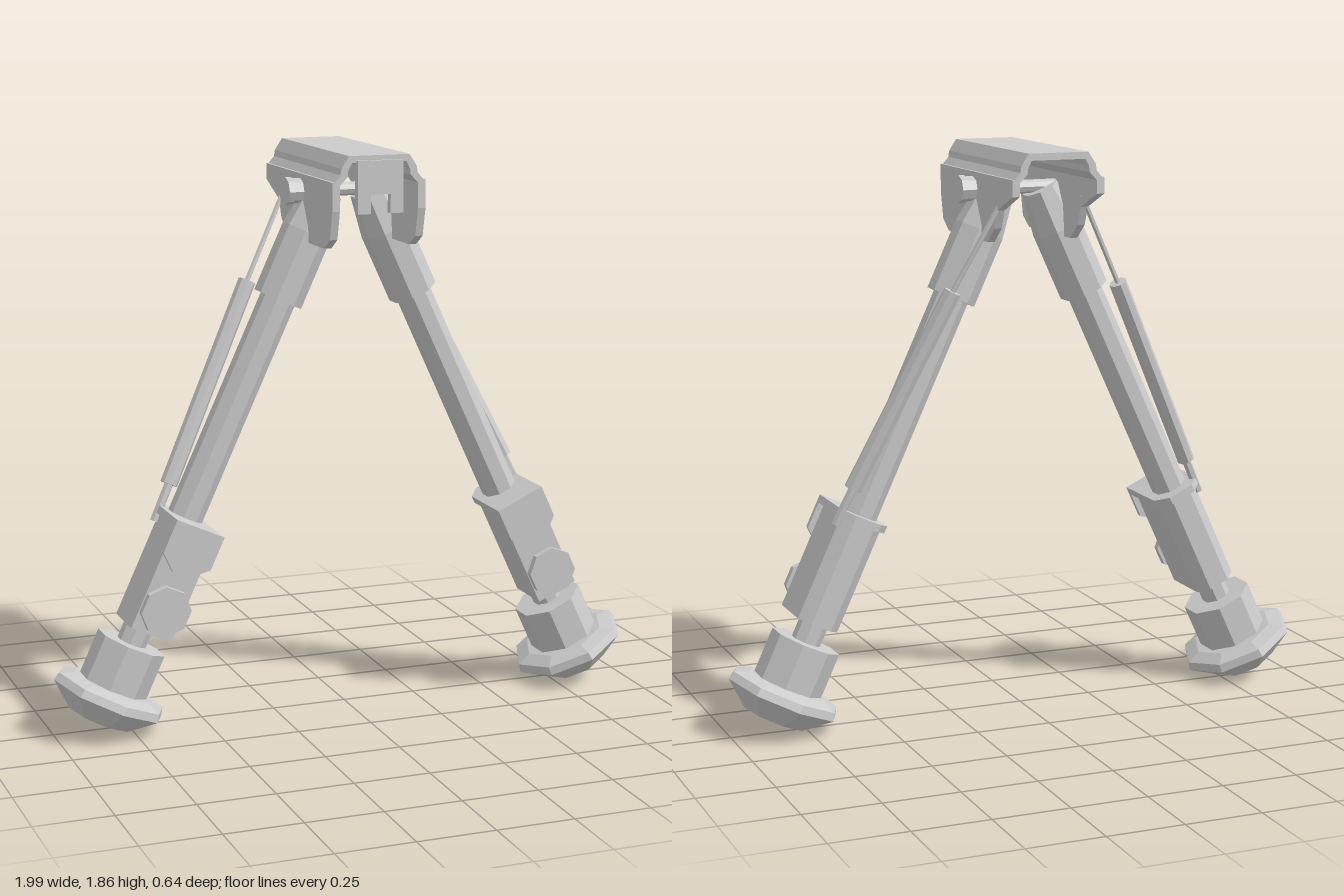
import * as THREE from 'three';

const material = new THREE.MeshStandardMaterial({ color: 0xcccccc, flatShading: true, side: THREE.DoubleSide });
const TILT = 0.434;   // lean of each leg
const LEG_Z = 0.017;

function add(parent, name, geometry) {
  const mesh = new THREE.Mesh(geometry, material);
  mesh.name = name;
  parent.add(mesh);
  return mesh;
}

// Extruded outline from [x, y] pairs
function extrude(points, depth) {
  const shape = new THREE.Shape(points.map(([x, y]) => new THREE.Vector2(x, y)));
  return new THREE.ExtrudeGeometry(shape, { depth, bevelEnabled: false });
}

// Right half of an outline, mirrored to a closed symmetric one
function mirrored(half) {
  return [...half, ...half.slice().reverse().map(([x, y]) => [-x, y])];
}

// Octagonal section of a leg between two distances down its axis;
// flat turns a flat side (instead of a corner) to the front
function section(parent, name, from, to, rTop, rBottom, flat = true) {
  const k = flat ? 1 / Math.cos(Math.PI / 8) : 1;
  const g = new THREE.CylinderGeometry(rTop * k, rBottom * k, to - from, 8);
  if (flat) g.rotateY(Math.PI / 8);
  g.translate(0, -(from + to) / 2, 0);
  return add(parent, name, g);
}

// Horizontal (x, z) plate of a leg, extruded down the axis
function plate(parent, name, points, from, to) {
  const g = extrude(points, to - from);
  g.rotateX(Math.PI / 2).translate(0, -from, 0);
  return add(parent, name, g);
}

// Cylinder between two points
function rod(parent, name, a, b, radius, sides = 8) {
  const dir = b.clone().sub(a);
  const mesh = add(parent, name, new THREE.CylinderGeometry(radius, radius, dir.length(), sides));
  mesh.position.copy(a).add(b).multiplyScalar(0.5);
  mesh.quaternion.setFromUnitVectors(new THREE.Vector3(0, 1, 0), dir.normalize());
  return mesh;
}

function buildLeg(side) {
  const leg = new THREE.Group();
  leg.name = side > 0 ? 'leftLeg' : 'rightLeg';
  leg.position.set(side * 0.08, 1.72, LEG_Z);
  leg.rotation.z = side * TILT;

  // Telescoping tubes
  section(leg, 'hingeTaper', -0.01, 0.13, 0.056, 0.075);
  section(leg, 'upperSleeve', 0.13, 0.364, 0.075, 0.075);
  section(leg, 'outerTube', 0.36, 1.14, 0.054, 0.054);
  section(leg, 'innerTube', 1.48, 1.58, 0.045, 0.045);

  // Clamp block with bevelled back corners
  plate(leg, 'clampBody', mirrored([[0.072, 0.137], [0.072, -0.04], [0.035, -0.077]]), 1.14, 1.5);

  // Release lever: collar plate and front lip
  plate(leg, 'leverCollar', mirrored([[0.085, 0.173], [0.085, -0.05], [0.045, -0.095]]), 1.122, 1.147);
  const lip = extrude(mirrored([[0.085, -1.122], [0.085, -1.235], [0.03, -1.282]]), 0.018);
  add(leg, 'leverLip', lip.translate(0, 0, 0.155));

  // Lock knob and its stem
  const knob = new THREE.CylinderGeometry(0.082, 0.082, 0.025, 8);
  knob.rotateY(Math.PI / 8).rotateX(Math.PI / 2).translate(0, -1.407, 0.17);
  add(leg, 'lockKnob', knob);
  const stem = new THREE.CylinderGeometry(0.025, 0.025, 0.04, 8);
  add(leg, 'knobStem', stem.rotateX(Math.PI / 2).translate(0, -1.407, 0.145));

  // Foot
  section(leg, 'footCollar', 1.566, 1.735, 0.107, 0.107);
  section(leg, 'footTop', 1.718, 1.734, 0.14, 0.188, false);
  section(leg, 'footRim', 1.734, 1.761, 0.188, 0.195, false);
  section(leg, 'footPad', 1.761, 1.832, 0.195, 0.108, false);
  return leg;
}

// Folding spring strut behind a leg
function buildStrut(side) {
  const strut = new THREE.Group();
  strut.name = side > 0 ? 'leftStrut' : 'rightStrut';
  const p = (x, y, z) => new THREE.Vector3(side * x, y, z);
  const top = p(0.285, 1.43, -0.137), bottom = p(0.59, 0.8, -0.035);
  rod(strut, 'strutRod', p(0.135, 1.72, -0.19), top, 0.009, 6);
  rod(strut, 'strutHousing', top, bottom, 0.029);
  rod(strut, 'strutFoot', bottom, p(0.645, 0.685, -0.02), 0.015, 6);
  return strut;
}

function buildMount() {
  const mount = new THREE.Group();
  mount.name = 'mount';

  // Folded top channel running front to back
  const outer = [[0.155, 1.78], [0.128, 1.812], [0.125, 1.832], [0.1, 1.87]];
  const inner = [[0.13, 1.78], [0.105, 1.805], [0.102, 1.825], [0.09, 1.848]];
  const left = ([x, y]) => [-x, y];
  const profile = [...outer, ...outer.map(left).reverse(), ...inner.map(left), ...inner.slice().reverse()];
  add(mount, 'topChannel', extrude(profile, 0.625).translate(0, 0, -0.315));

  // Side cheeks, outline in (z, y)
  const cheek = [[0.31, 1.79], [0.31, 1.7], [0.288, 1.61], [0.235, 1.577], [-0.108, 1.577],
    [-0.165, 1.625], [-0.19, 1.685], [-0.315, 1.738], [-0.315, 1.79]];
  for (const side of [1, -1]) {
    const g = extrude(cheek, 0.025).rotateY(-Math.PI / 2);
    add(mount, 'sideCheek', g.translate(side * 0.1425 + 0.0125, 0, 0));
    // Hinge bolt head with a raised cap
    const head = new THREE.CylinderGeometry(0.044, 0.044, 0.02, 8).rotateZ(Math.PI / 2);
    add(mount, 'boltHead', head.translate(side * 0.195, 1.735, LEG_Z));
    const washer = new THREE.CylinderGeometry(0.04, 0.04, 0.045, 8).rotateZ(Math.PI / 2);
    add(mount, 'boltWasher', washer.translate(side * 0.165, 1.735, LEG_Z));
  }
  const axle = new THREE.CylinderGeometry(0.022, 0.022, 0.34, 8).rotateZ(Math.PI / 2);
  add(mount, 'hingeAxle', axle.translate(0, 1.735, LEG_Z));

  // Notched plate closing the front
  const front = mirrored([[0.075, 1.855], [0.075, 1.69], [0.033, 1.69], [0.033, 1.75]]);
  add(mount, 'frontPlate', extrude(front, 0.025).translate(0, 0, 0.298));
  return mount;
}

export function createModel() {
  const model = new THREE.Group();
  model.name = 'bipod';
  model.add(buildMount());
  for (const side of [1, -1]) model.add(buildLeg(side), buildStrut(side));
  return model;
}
